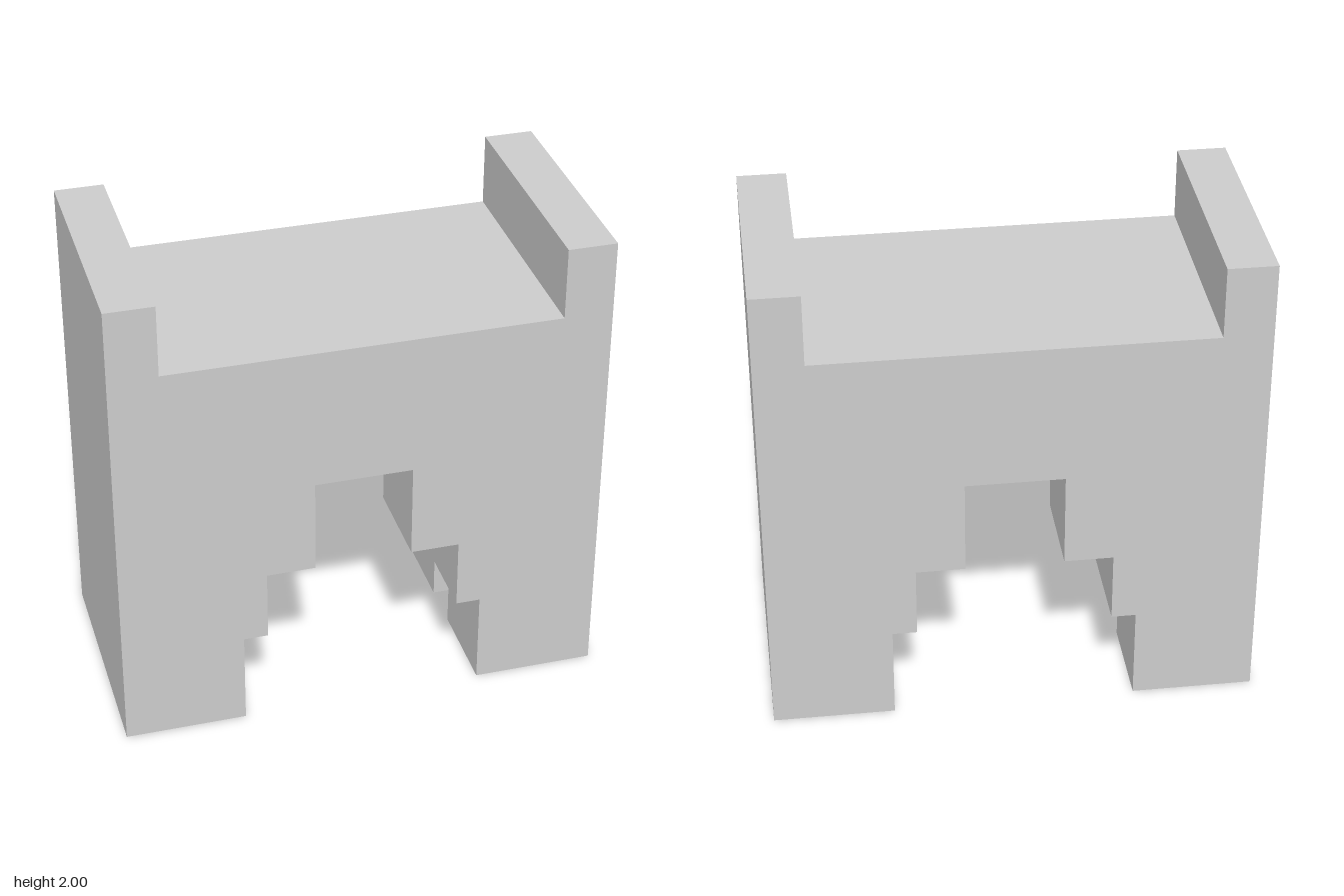
import * as THREE from 'three';

const material = new THREE.MeshStandardMaterial({ color: 0xcccccc, flatShading: true });

// Right half of the stepped tunnel outline, from the ground up to the ceiling.
const tunnelSteps = [[0.5, 0], [0.5, 0.4], [0.4, 0.4], [0.4, 0.7], [0.2, 0.7], [0.2, 1.1]];
// The same outline where the notches cut deeper into the lower and upper steps.
const notchedSteps = [[0.6, 0], [0.6, 0.4], [0.4, 0.4], [0.4, 0.9], [0.2, 0.9], [0.2, 1.1]];
// Right half of the outside, from the ground up to the deck between the parapets.
const outerEdge = [[1, 0], [1, 2], [0.8, 2], [0.8, 1.7]];

const mirrorPoints = (points) => points.map(([x, y]) => [-x, y]);

// One slice of the arch, symmetric in x, extruded from zBack to zFront.
function archSlice(name, steps, zBack, zFront) {
  const outline = [
    ...outerEdge,
    ...mirrorPoints(outerEdge).reverse(),
    ...mirrorPoints(steps),
    ...[...steps].reverse(),
  ];
  const shape = new THREE.Shape(outline.map(([x, y]) => new THREE.Vector2(x, y)));
  const geometry = new THREE.ExtrudeGeometry(shape, { depth: zFront - zBack, bevelEnabled: false });
  geometry.translate(0, 0, zBack);
  const mesh = new THREE.Mesh(geometry, material);
  mesh.name = name;
  return mesh;
}

export function createModel() {
  const model = new THREE.Group();
  model.name = 'steppedArch';
  model.add(
    archSlice('backArch', tunnelSteps, -0.5, -0.1),
    archSlice('notchedMiddleArch', notchedSteps, -0.1, 0.1),
    archSlice('frontArch', tunnelSteps, 0.1, 0.5),
  );
  return model;
}
